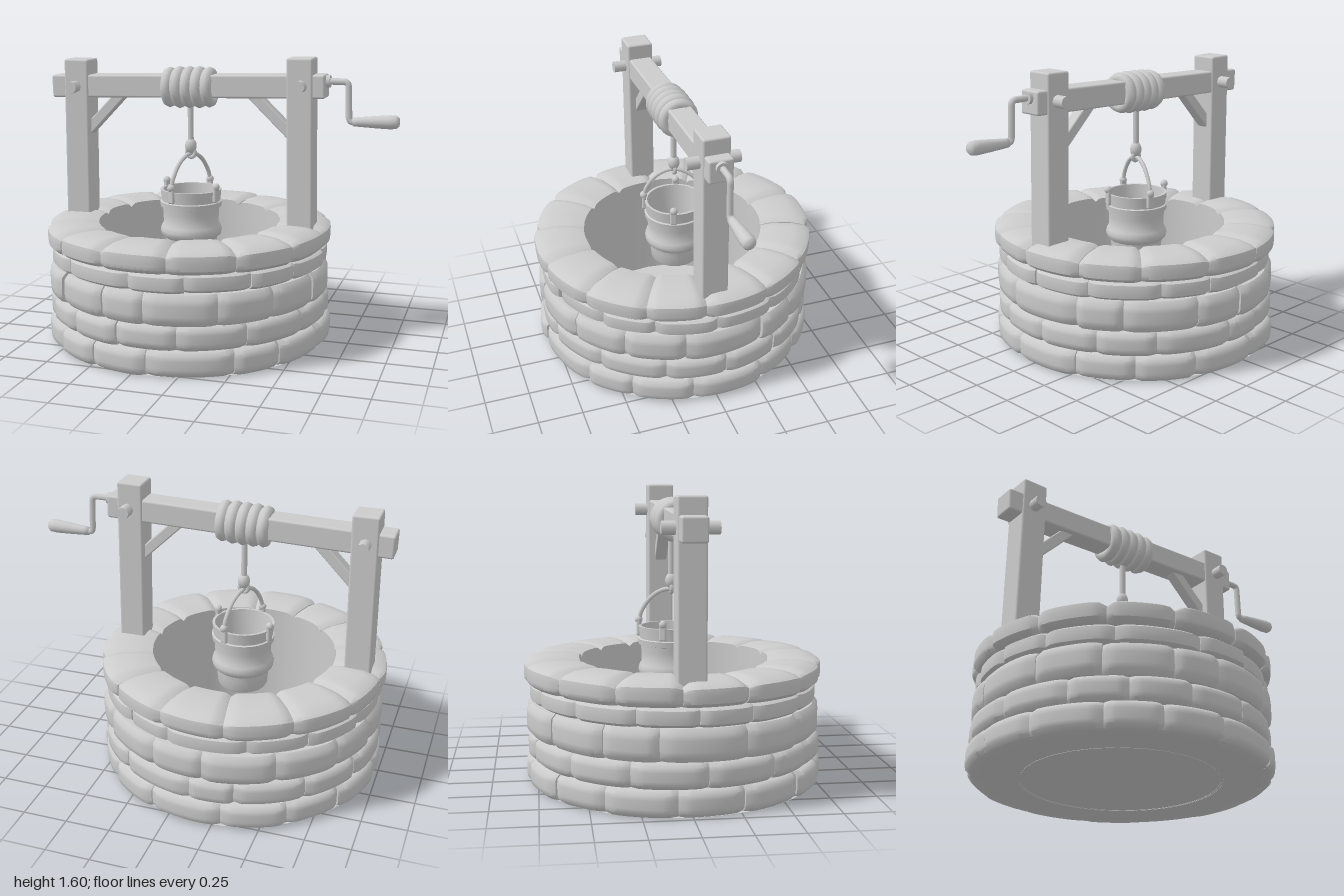
import * as THREE from 'three';
import { mergeGeometries, mergeVertices, toCreasedNormals } from 'three/addons/utils/BufferGeometryUtils.js';
import { RoundedBoxGeometry } from 'three/addons/geometries/RoundedBoxGeometry.js';

const V = (x, y, z = 0) => new THREE.Vector3(x, y, z);
const CX = -0.185; // axis of the well

export function createModel() {
  const model = new THREE.Group();
  const mat = new THREE.MeshStandardMaterial({ color: 0xcccccc });
  const thin = new THREE.MeshStandardMaterial({ color: 0xcccccc, side: THREE.DoubleSide });

  let seed = 7;
  const rand = () => (seed = (seed * 16807) % 2147483647) / 2147483647;
  const jitter = (s) => (rand() - 0.5) * 2 * s;

  function add(name, geometry, parent = model, material = mat) {
    const mesh = new THREE.Mesh(geometry, material);
    mesh.name = name;
    parent.add(mesh);
    return mesh;
  }
  // Lays a mesh built along `axis` between two points
  function place(mesh, p, q, axis) {
    mesh.position.copy(p).add(q).multiplyScalar(0.5);
    mesh.quaternion.setFromUnitVectors(axis, q.clone().sub(p).normalize());
    return mesh;
  }
  const beam = (name, p, q, w, d, r = 0.012) =>
    place(add(name, new RoundedBoxGeometry(p.distanceTo(q), w, d, 2, r)), p, q, V(1, 0));
  const rod = (name, p, q, r, sides = 12, parent = model) =>
    place(add(name, new THREE.CylinderGeometry(r, r, p.distanceTo(q), sides), parent), p, q, V(0, 1));
  const tube = (name, points, r, parent = model) =>
    add(name, new THREE.TubeGeometry(new THREE.CatmullRomCurve3(points), 32, r, 8), parent);

  // One pillowed stone, bent round the well axis
  function stone(a0, a1, y0, y1, rIn, rOut, cap) {
    let g = new THREE.BoxGeometry(2, 2, 2, 10, 6, 4);
    const p = g.attributes.position;
    const slope = jitter(0.008);
    for (let i = 0; i < p.count; i++) {
      const u = p.getX(i), v = p.getY(i), w = p.getZ(i);
      const a = a0 + (a1 - a0) * (u + 1) / 2;
      const edge = 0.022 * u ** 8 + 0.028 * v ** 6;
      const r = rIn + (rOut + slope * u - edge - rIn) * (w + 1) / 2;
      let y = y0 + (y1 - y0) * (v + 1) / 2;
      if (cap && v > 0) y -= v * (0.022 * u ** 8 + 0.014 * w ** 4);
      p.setXYZ(i, r * Math.sin(a), y, r * Math.cos(a));
    }
    g.deleteAttribute('normal');
    g.deleteAttribute('uv');
    g = mergeVertices(g, 1e-4);
    return toCreasedNormals(g, 0.75);
  }

  // Courses of stones: bottom, top, inner radius, outer radius, first joint
  const courses = [
    ['bottomCourse', 0, 0.14, 0.54, 0.81, 0.1],
    ['secondCourse', 0.14, 0.275, 0.54, 0.8, 0.3],
    ['thirdCourse', 0.275, 0.445, 0.54, 0.805, 0.07],
    ['upperCourse', 0.445, 0.55, 0.54, 0.785, 0.27],
    ['capStones', 0.55, 0.68, 0.52, 0.812, 0.16],
  ];
  const well = new THREE.Group();
  well.name = 'well';
  well.position.x = CX;
  model.add(well);
  for (const [name, y0, y1, rIn, rOut, start] of courses) {
    const cap = name === 'capStones', n = 14, step = Math.PI * 2 / n;
    const joints = Array.from({ length: n }, (_, i) => start + i * step + jitter(cap ? 0.025 : 0.08));
    joints.push(joints[0] + Math.PI * 2);
    const stones = [];
    for (let i = 0; i < n; i++) {
      const top = y1 + (cap ? jitter(0.006) : 0);
      stones.push(stone(joints[i], joints[i + 1], y0, top, rIn, rOut + jitter(0.006), cap));
    }
    add(name, mergeGeometries(stones), well);
  }

  // Smooth inner wall and floor
  add('innerWall', new THREE.CylinderGeometry(0.53, 0.53, 0.6, 28, 1, true), well, thin).position.y = 0.3;
  add('floor', new THREE.CircleGeometry(0.785, 40).rotateX(-Math.PI / 2), well, thin).position.y = 0.002;

  // Posts, crossbeam and braces
  beam('rightPost', V(-0.85, 0.6), V(-0.842, 1.565), 0.146, 0.15);
  beam('leftPost', V(0.475, 0.6), V(0.46, 1.6), 0.145, 0.15);
  beam('crossbeam', V(-0.998, 1.407), V(0.6, 1.449), 0.128, 0.134);
  beam('rightBrace', V(-0.82, 1.13), V(-0.56, 1.4), 0.06, 0.07, 0.008);
  beam('leftBrace', V(0.45, 1.14), V(0.17, 1.41), 0.06, 0.07, 0.008);
  rod('rightPeg', V(-0.847, 1.41, -0.145), V(-0.847, 1.41, 0.145), 0.034, 8);
  rod('leftPeg', V(0.473, 1.45, -0.145), V(0.473, 1.45, 0.145), 0.034, 8);

  // Rope coils round the beam
  const coils = new THREE.Group();
  coils.name = 'ropeCoils';
  coils.position.set(-0.18, 1.42, 0);
  coils.rotation.z = 0.026;
  model.add(coils);
  rod('coilCore', V(-0.14, 0), V(0.14, 0), 0.098, 20, coils);
  for (let i = 0; i < 5; i++) {
    const coil = add('coil', new THREE.TorusGeometry(0.083, 0.034, 8, 28).rotateY(Math.PI / 2), coils);
    coil.position.x = (i - 2) * 0.058;
    coil.scale.setScalar(i === 0 || i === 4 ? 0.97 : 1.01);
  }

  // Hanging rope with its knot
  rod('rope', V(-0.18, 1.06, -0.01), V(-0.18, 1.36, -0.01), 0.017);
  add('knot', new THREE.SphereGeometry(0.034, 12, 8).scale(1, 1.3, 1)).position.set(-0.18, 1.085, -0.01);
  const loop = add('ropeLoop', new THREE.TorusGeometry(0.025, 0.012, 8, 16));
  loop.position.set(-0.18, 1.045, -0.01);

  // Crank with turned grip
  rod('crankCollar', V(0.59, 1.475), V(0.62, 1.475), 0.034);
  const crank = new THREE.CurvePath();
  const pts = [V(0.6, 1.475), V(0.69, 1.475), V(0.718, 1.447), V(0.724, 1.29), V(0.745, 1.26), V(0.82, 1.262)];
  crank.add(new THREE.LineCurve3(pts[0], pts[1]));
  crank.add(new THREE.QuadraticBezierCurve3(pts[1], V(0.718, 1.475), pts[2]));
  crank.add(new THREE.LineCurve3(pts[2], pts[3]));
  crank.add(new THREE.QuadraticBezierCurve3(pts[3], V(0.724, 1.26), pts[4]));
  crank.add(new THREE.LineCurve3(pts[4], pts[5]));
  add('crankArm', new THREE.TubeGeometry(crank, 60, 0.018, 8));
  const grip = [[0, 0], [0.023, 0.002], [0.026, 0.03], [0.033, 0.12], [0.038, 0.2], [0.036, 0.235], [0.024, 0.25], [0, 0.253]];
  const gripMesh = add('crankGrip', new THREE.LatheGeometry(grip.map(([r, y]) => new THREE.Vector2(r, y)), 14));
  gripMesh.position.set(0.745, 1.26, 0);
  gripMesh.rotation.z = -Math.PI / 2 + 0.03;

  // Bucket with hoops, lugs and bail
  const bucket = new THREE.Group();
  bucket.name = 'bucket';
  bucket.position.set(-0.182, 0, -0.015);
  bucket.rotation.y = -0.35; // turns the bail off the front axis
  model.add(bucket);
  const profile = [[0, 0.455], [0.135, 0.455], [0.142, 0.47], [0.147, 0.53], [0.15, 0.555], [0.172, 0.575], [0.177, 0.6],
    [0.17, 0.625], [0.158, 0.645], [0.16, 0.7], [0.163, 0.735], [0.175, 0.738], [0.178, 0.768], [0.168, 0.772],
    [0.175, 0.838], [0.16, 0.838], [0.147, 0.7], [0.125, 0.48], [0, 0.48]];
  const shell = new THREE.LatheGeometry(profile.map(([r, y]) => new THREE.Vector2(r, y)), 28);
  shell.deleteAttribute('normal');
  shell.deleteAttribute('uv');
  add('bucketShell', toCreasedNormals(mergeVertices(shell, 1e-4), 0.7), bucket, thin);
  for (let i = 0; i < 4; i++) {
    const lug = new THREE.Group();
    lug.name = 'lug';
    lug.rotation.y = i * Math.PI / 2;
    bucket.add(lug);
    const plate = add('lugPlate', new RoundedBoxGeometry(0.04, 0.1, 0.024, 2, 0.01), lug);
    plate.position.set(0, 0.825, 0.178);
    const eye = add('lugEye', new THREE.SphereGeometry(0.022, 10, 8), lug);
    eye.position.set(0, 0.865, 0.18);
  }
  tube('bail', [V(0, 0.85, 0.18), V(0, 0.91, 0.165), V(0, 0.99, 0.11), V(0, 1.03, 0.05), V(0, 1.04, 0),
    V(0, 1.03, -0.05), V(0, 0.99, -0.11), V(0, 0.91, -0.165), V(0, 0.85, -0.18)], 0.012, bucket);

  return model;
}
